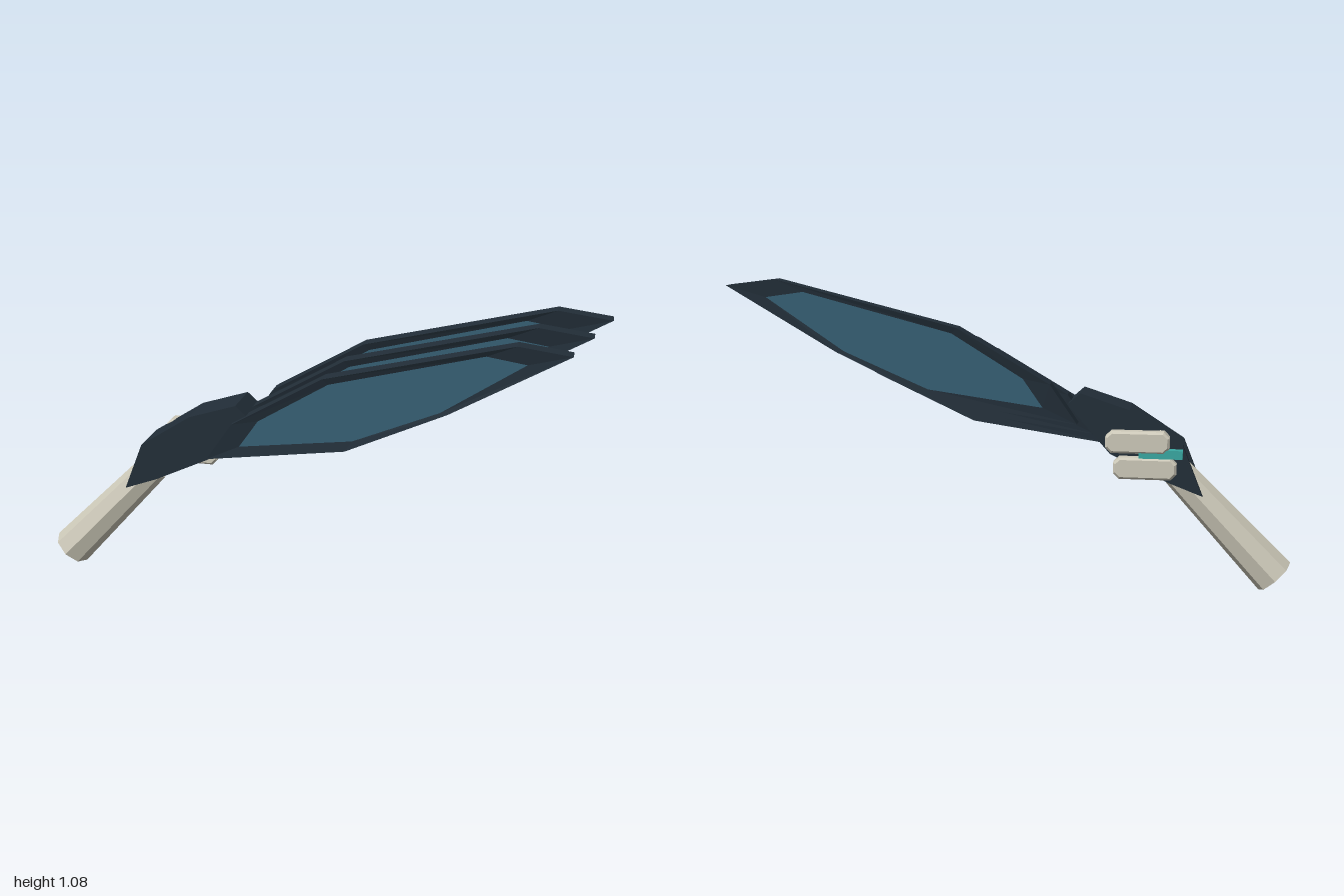
import * as THREE from 'three';

const mat = (name, color) => {
  const m = new THREE.MeshStandardMaterial({ color, flatShading: true });
  m.name = name;
  return m;
};

const toShape = (pts) => new THREE.Shape(pts.map(([x, y]) => new THREE.Vector2(x, y)));

// Flat outline extruded between two z values, with an optional bevel kept inside them
function slab(pts, z0, z1, bevel = 0) {
  const geo = new THREE.ExtrudeGeometry(toShape(pts), {
    depth: z1 - z0 - 2 * bevel, bevelEnabled: bevel > 0, bevelSize: bevel,
    bevelOffset: -bevel, bevelThickness: bevel, bevelSegments: 1,
  });
  return geo.translate(0, 0, z0 + bevel);
}

// Bands of quads joining closed rings of points
function loft(rings) {
  const pos = [];
  for (let r = 0; r < rings.length - 1; r++) {
    const a = rings[r], b = rings[r + 1], n = a.length;
    for (let i = 0; i < n; i++) {
      const j = (i + 1) % n;
      pos.push(...a[i], ...b[i], ...b[j], ...a[i], ...b[j], ...a[j]);
    }
  }
  const geo = new THREE.BufferGeometry();
  geo.setAttribute('position', new THREE.Float32BufferAttribute(pos, 3));
  geo.computeVertexNormals();
  return geo;
}

export function createModel() {
  const model = new THREE.Group();
  model.name = 'foldingWing';
  const dark = mat('darkFrame', 0x222e38);
  const glass = mat('bluePanel', 0x365f74);
  const bone = mat('paleShell', 0xcdc9b9);
  const teal = mat('tealLight', 0x3aa8a2);

  const add = (parent, name, geo, material) => {
    const mesh = new THREE.Mesh(geo, material);
    mesh.name = name;
    parent.add(mesh);
    return mesh;
  };

  // Three staggered blades: a dark rim sloping in to a recessed blue panel on both faces
  const outer = [[-0.37, 0.5], [0.13, 0.573], [0.48, 0.735], [0.88, 0.965], [0.7, 0.988], [0.05, 0.828], [-0.275, 0.638]];
  const inner = [[-0.25, 0.555], [0.155, 0.61], [0.455, 0.738], [0.735, 0.925], [0.6, 0.945], [0.07, 0.808], [-0.18, 0.655]];
  const half = 0.031, recess = 0.023;
  const ring = (pts, z) => pts.map(([x, y]) => [x, y, z]);
  // The back of the rim thins a little at both ends
  const back = outer.map(([x, y]) => [x, y, x > 0.6 || x < -0.3 ? -half + 0.006 : -half]);
  const rimGeo = loft([ring(inner, recess), ring(outer, half), back, ring(inner, -recess)]);
  const panelGeo = slab(inner, -recess, recess);
  const places = [['frontBlade', 0, 0, 0.079], ['middleBlade', 0.06, 0.048, 0.013], ['backBlade', 0.115, 0.092, -0.055]];
  for (const [name, x, y, z] of places) {
    const blade = new THREE.Group();
    blade.name = name;
    blade.position.set(x, y, z);
    add(blade, 'bladeRim', rimGeo, dark);
    add(blade, 'bladePanel', panelGeo, glass);
    model.add(blade);
  }

  // Housing: solid core with a cheek plate on each side of the arm socket
  const hull = [[-0.37, 0.49], [-0.22, 0.66], [-0.265, 0.7], [-0.435, 0.645], [-0.62, 0.525]];
  add(model, 'housingCore', slab([[-0.57, 0.395], ...hull], -0.052, 0.07), dark);
  const cheek = [[-0.69, 0.35], [-0.57, 0.395], ...hull];
  add(model, 'frontCheek', slab(cheek, 0.07, 0.088), dark);
  add(model, 'backCheek', slab(cheek, -0.072, -0.052), dark);

  // Tapered eight-sided arm running up into the housing
  const foot = new THREE.Vector3(-0.9475, 0.0525, 0.015);
  const dir = new THREE.Vector3(0.69, 0.724, 0).normalize();
  const length = 0.5;
  const arm = add(model, 'arm', new THREE.CylinderGeometry(0.056, 0.074, length, 8), bone);
  arm.position.copy(foot).addScaledVector(dir, length / 2);
  arm.quaternion.setFromUnitVectors(new THREE.Vector3(0, 1, 0), dir);

  // Two chamfered pods on the back of the housing
  const pod = (x0, x1, y0, y1) => {
    const c = 0.02;
    return slab([[x0 + c, y0], [x1 - c, y0], [x1, y0 + c], [x1, y1 - c],
      [x1 - c, y1], [x0 + c, y1], [x0, y1 - c], [x0, y0 + c]], -0.11, -0.054, 0.008);
  };
  add(model, 'upperPod', pod(-0.575, -0.355, 0.5, 0.577), bone);
  add(model, 'lowerPod', pod(-0.6, -0.383, 0.41, 0.486), bone);

  // Glowing strip between the pods
  const strip = add(model, 'lightStrip', new THREE.BoxGeometry(0.15, 0.03, 0.045), teal);
  strip.position.set(-0.545, 0.499, -0.0825);

  return model;
}
